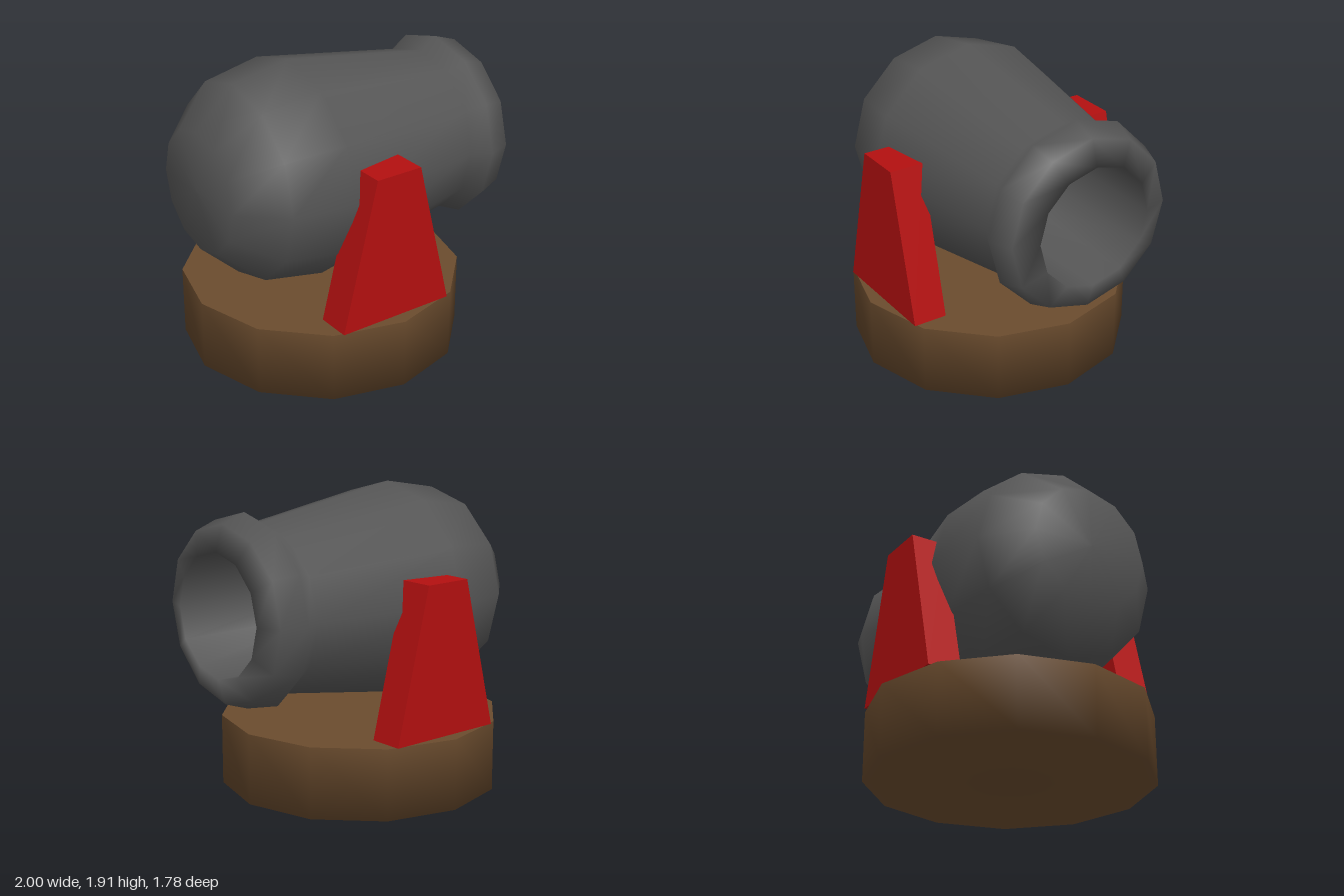
import * as THREE from 'three';

const SIDES = 12;

// Trapezoid upright, extruded along z
function makeSupport(material) {
  const shape = new THREE.Shape([
    new THREE.Vector2(-0.5, 0.45),
    new THREE.Vector2(0.285, 0.45),
    new THREE.Vector2(0.05, 1.4),
    new THREE.Vector2(-0.265, 1.4),
  ]);
  const geometry = new THREE.ExtrudeGeometry(shape, { depth: 0.22, bevelEnabled: false });
  return new THREE.Mesh(geometry, material);
}

function lathe(profile, material) {
  const points = profile.map(([r, h]) => new THREE.Vector2(r, h));
  return new THREE.Mesh(new THREE.LatheGeometry(points, SIDES), material);
}

export function createModel() {
  const model = new THREE.Group();
  const iron = new THREE.MeshStandardMaterial({ color: 0x555555 });
  const wood = new THREE.MeshStandardMaterial({ color: 0x6b4c2e });
  const red = new THREE.MeshStandardMaterial({ color: 0xb31010 });

  // Barrel: rounded breech, tapered body, flared muzzle, then back into the bore
  const barrel = lathe([
    [0, -1], [0.385, -0.99], [0.625, -0.73], [0.695, -0.34],
    [0.53, 0.67], [0.6, 0.79], [0.545, 0.95], [0.385, 1],
    [0.385, -0.3], [0, -0.3],
  ], iron);
  barrel.name = 'barrel';
  barrel.rotation.z = -Math.PI / 2;
  barrel.position.y = 1.215;
  model.add(barrel);

  // Round base: sides blend softly into the underside, the top stays flat
  const base = new THREE.Group();
  base.name = 'base';
  base.position.x = -0.108;
  const baseBody = lathe([[0, 0], [0.892, 0], [0.892, 0.45]], wood);
  baseBody.name = 'baseBody';
  const baseTop = new THREE.Mesh(new THREE.CircleGeometry(0.892, SIDES), wood);
  baseTop.name = 'baseTop';
  baseTop.rotation.x = -Math.PI / 2;
  baseTop.position.y = 0.45;
  base.add(baseBody, baseTop);
  model.add(base);

  // Uprights on both sides of the barrel
  for (const [name, z] of [['frontSupport', 0.583], ['backSupport', -0.803]]) {
    const support = makeSupport(red);
    support.name = name;
    support.position.z = z;
    model.add(support);
  }
  return model;
}
